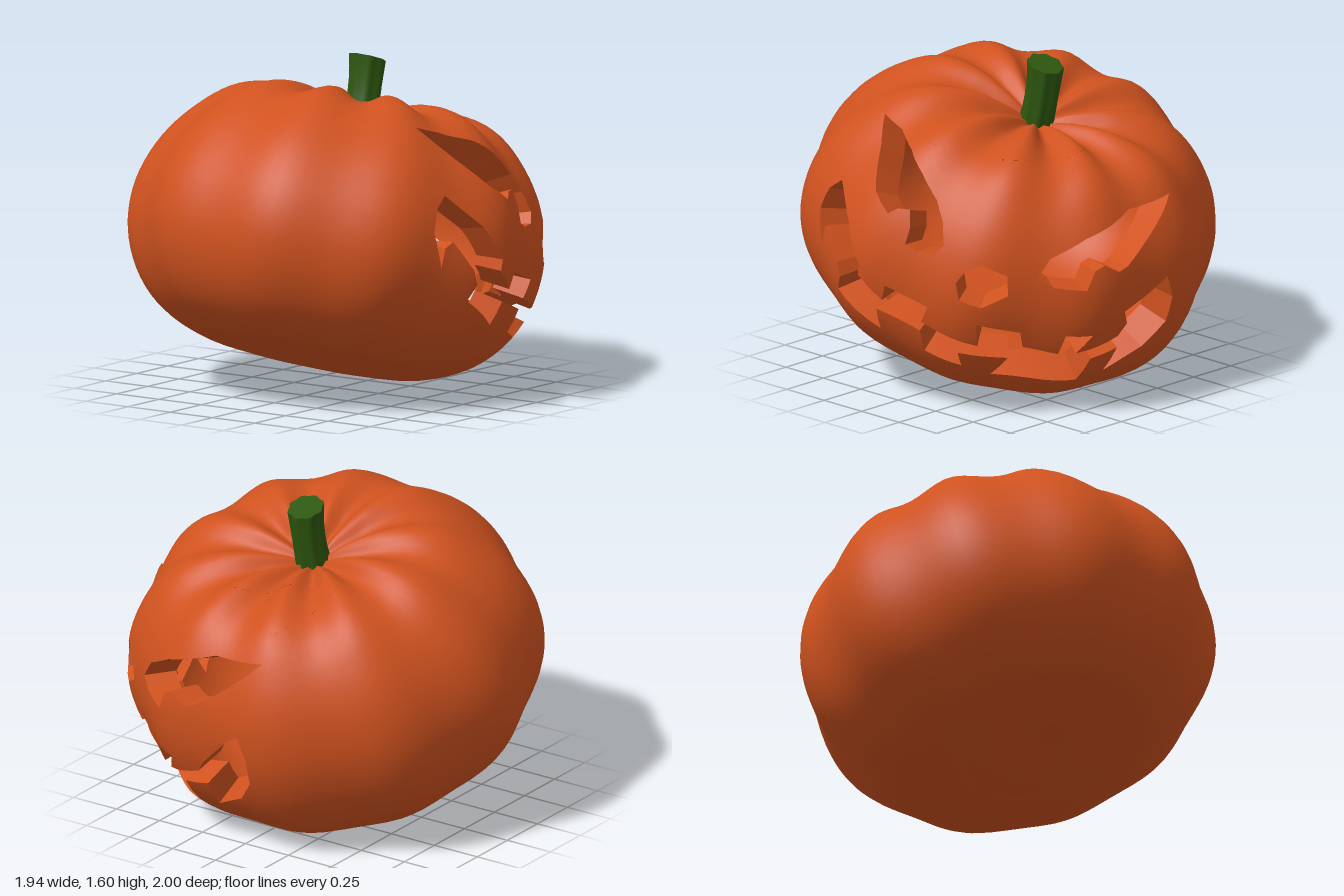
import * as THREE from 'three';

const TILT = THREE.MathUtils.degToRad(20);
const CENTRE = new THREE.Vector3(0, 0.757, 0);
const Z_AXIS = new THREE.Vector3(0, 0, 1);
const WALL = 0.16; // thickness of the rind
const MAX_EDGE = 0.09;
const WEST = -2.45, EAST = WEST + Math.PI * 2; // seam at the back

// Rind radius by latitude, every 15 degrees from the bottom to the stem
const profile = new THREE.SplineCurve(
  [0.61, 0.64, 0.71, 0.835, 0.935, 0.99, 1.0, 0.975, 0.93, 0.875, 0.765, 0.635, 0.53]
    .map((r, i) => new THREE.Vector2(i, r)));

// Ten soft lobes: the grooves deepen towards the stem and fade underneath;
// the left shoulder is a little fuller than the right one
function radius(az, el) {
  const { smoothstep, clamp } = THREE.MathUtils;
  const groove = Math.cos(5 * (az - 0.28)) ** 2;
  const depth = (0.035 * smoothstep(el, -1, 0) + 0.06 * smoothstep(el, 0.5, 1.2))
    * clamp(Math.cos(el) * 2.5, 0, 1);
  const shoulder = 0.05 * Math.sin(az) * smoothstep(el, -0.2, 0.8) * Math.cos(el);
  return profile.getPoint(clamp(el / Math.PI + 0.5, 0, 1)).y * (1 - depth * groove + shoulder);
}

function rindPoint(az, el, layer = WALL) {
  const r = radius(az, el) - WALL + layer;
  return new THREE.Vector3(Math.sin(az) * Math.cos(el), Math.sin(el), Math.cos(az) * Math.cos(el))
    .multiplyScalar(r);
}

function rindNormal(az, el) {
  const e = 0.03, lat = THREE.MathUtils.clamp(el, -1.53, 1.53);
  const du = rindPoint(az + e, lat).sub(rindPoint(az - e, lat));
  const dv = rindPoint(az, lat + e).sub(rindPoint(az, lat - e));
  return du.cross(dv).normalize();
}

// Projects a carving point onto the rind, along z (front) or along x (side),
// and returns its longitude and latitude
function project(a, y, side) {
  let lo = 0, hi = 1.3, p;
  for (let i = 0; i < 24; i++) {
    const mid = (lo + hi) / 2;
    p = new THREE.Vector3(side ? mid : a, y, side ? a : mid)
      .sub(CENTRE).applyAxisAngle(Z_AXIS, TILT);
    const inside = p.length() < radius(Math.atan2(p.x, p.z), Math.asin(p.y / p.length()));
    if (inside) lo = mid; else hi = mid;
  }
  return new THREE.Vector2(Math.atan2(p.x, p.z), Math.asin(p.y / p.length()));
}
const front = (pts) => pts.map(([x, y]) => project(x, y, false));
const side = (pts) => pts.map(([z, y]) => project(z, y, true));

// Carved openings
const rightEye = front([
  [-0.21, 1.36], [-0.13, 1.25], [0, 1.08], [0.11, 1.0], [0.15, 1.03], [0.21, 1.03], [0.23, 0.95],
  [0.22, 0.87], [0.28, 0.84], [0.37, 0.84], [0.405, 0.89], [0.37, 0.99], [0.31, 1.08], [0.2, 1.19],
  [0.08, 1.27], [-0.07, 1.32]]);
const leftEye = side([
  [-0.19, 1.02], [0.08, 1.0], [0.36, 0.914], [0.52, 0.83], [0.58, 0.74], [0.52, 0.69], [0.39, 0.667],
  [0.35, 0.76], [0.3, 0.78], [0.22, 0.735], [0.16, 0.75], [-0.02, 0.87]]);
const nose = front([
  [0.53, 0.78], [0.59, 0.815], [0.68, 0.76], [0.68, 0.66], [0.59, 0.6], [0.505, 0.635], [0.49, 0.72]]);
const mouth = [
  // upper lip, from the right corner to the left corner
  ...front([
    [-0.37, 0.73], [-0.4, 0.905], [-0.355, 1.01], [-0.28, 1.065], [-0.12, 0.9], [-0.02, 0.735],
    [-0.03, 0.68], [0.09, 0.57], [0.12, 0.65], [0.34, 0.575], [0.29, 0.49], [0.53, 0.39],
    [0.56, 0.51], [0.685, 0.46], [0.67, 0.38]]),
  ...side([
    [0.45, 0.335], [0.45, 0.435], [0.33, 0.425], [0.38, 0.335], [0.17, 0.39], [0.13, 0.45],
    [0.165, 0.52], [0.035, 0.57], [-0.1, 0.645],
    // lower lip, back again
    [-0.145, 0.53], [-0.14, 0.4], [-0.045, 0.28], [0.14, 0.185], [0.14, 0.32], [0.29, 0.29],
    [0.28, 0.16], [0.615, 0.21], [0.615, 0.315]]),
  ...front([
    [0.435, 0.345], [0.41, 0.265], [0.25, 0.325], [0.27, 0.44], [0.045, 0.515], [0.02, 0.4],
    [-0.22, 0.555], [-0.18, 0.63], [-0.2, 0.7], [-0.3, 0.85], [-0.345, 0.825]]),
];

// Splits a triangle at its longest edge until all edges are short
function split(tri, out) {
  const len = tri.map((p, i) => p.distanceTo(tri[(i + 1) % 3]));
  const longest = Math.max(...len);
  if (longest <= MAX_EDGE) { out.push(tri); return; }
  const i = len.indexOf(longest);
  const a = tri[i], b = tri[(i + 1) % 3], c = tri[(i + 2) % 3];
  const m = a.clone().add(b).multiplyScalar(0.5);
  split([a, m, c], out);
  split([m, b, c], out);
}

const onSeam = (tri) => [WEST, EAST].some((x) => tri.every((p) => Math.abs(p.x - x) < 1e-4))
  || tri.every((p) => Math.abs(p.y) > 1.57);

// The rind is unrolled to a flat sheet with openings, then wrapped round
function rindGeometry() {
  const h = Math.PI / 2;
  const sheet = new THREE.Shape([[WEST, -h], [EAST, -h], [EAST, h], [WEST, h]]
    .map(([x, y]) => new THREE.Vector2(x, y)));
  sheet.holes = [rightEye, leftEye, nose, mouth].map((pts) => new THREE.Path(pts));
  const flat = new THREE.ExtrudeGeometry(sheet, { depth: WALL, bevelEnabled: false });
  const src = flat.attributes.position;
  const capEnd = flat.groups[0].count;
  const positions = [], normals = [];
  for (let i = 0; i < src.count; i += 3) {
    const tri = [0, 1, 2].map((k) => new THREE.Vector3().fromBufferAttribute(src, i + k));
    const isCap = i < capEnd;
    if (!isCap && onSeam(tri)) continue;
    const pieces = [];
    split(tri, pieces);
    for (const piece of pieces) {
      const pts = piece.map((p) => rindPoint(p.x, p.y, p.z));
      const face = new THREE.Triangle(...pts).getNormal(new THREE.Vector3());
      piece.forEach((p, k) => {
        positions.push(...pts[k].toArray());
        const n = isCap ? rindNormal(p.x, p.y).multiplyScalar(p.z > WALL / 2 ? 1 : -1) : face;
        normals.push(...n.toArray());
      });
    }
  }
  const geo = new THREE.BufferGeometry();
  geo.setAttribute('position', new THREE.Float32BufferAttribute(positions, 3));
  geo.setAttribute('normal', new THREE.Float32BufferAttribute(normals, 3));
  return geo;
}

// Ribbed stem, slightly bent and wider at both ends
function stemGeometry() {
  const height = 0.36;
  const geo = new THREE.CylinderGeometry(1, 1, height, 32, 6);
  const pos = geo.attributes.position;
  for (let i = 0; i < pos.count; i++) {
    const x = pos.getX(i), z = pos.getZ(i), t = pos.getY(i) / height + 0.5;
    const rib = 1 + 0.06 * Math.cos(8 * Math.atan2(x, z));
    const r = (0.076 + 0.04 * (t - 0.5) ** 2) * rib;
    pos.setXYZ(i, x * r - 0.045 * t * t, 0.49 + t * height, z * r);
  }
  geo.computeVertexNormals();
  return geo;
}

export function createModel() {
  const model = new THREE.Group();
  model.name = 'carvedPumpkin';
  const body = new THREE.Group();
  body.name = 'tiltedPumpkin';
  body.position.copy(CENTRE);
  body.rotation.z = -TILT;
  model.add(body);

  const add = (name, geo, color) => {
    const mesh = new THREE.Mesh(geo, new THREE.MeshStandardMaterial({ color }));
    mesh.name = name;
    body.add(mesh);
  };
  add('rind', rindGeometry(), 0xd0521f);
  add('stem', stemGeometry(), 0x2d570e);
  return model;
}
